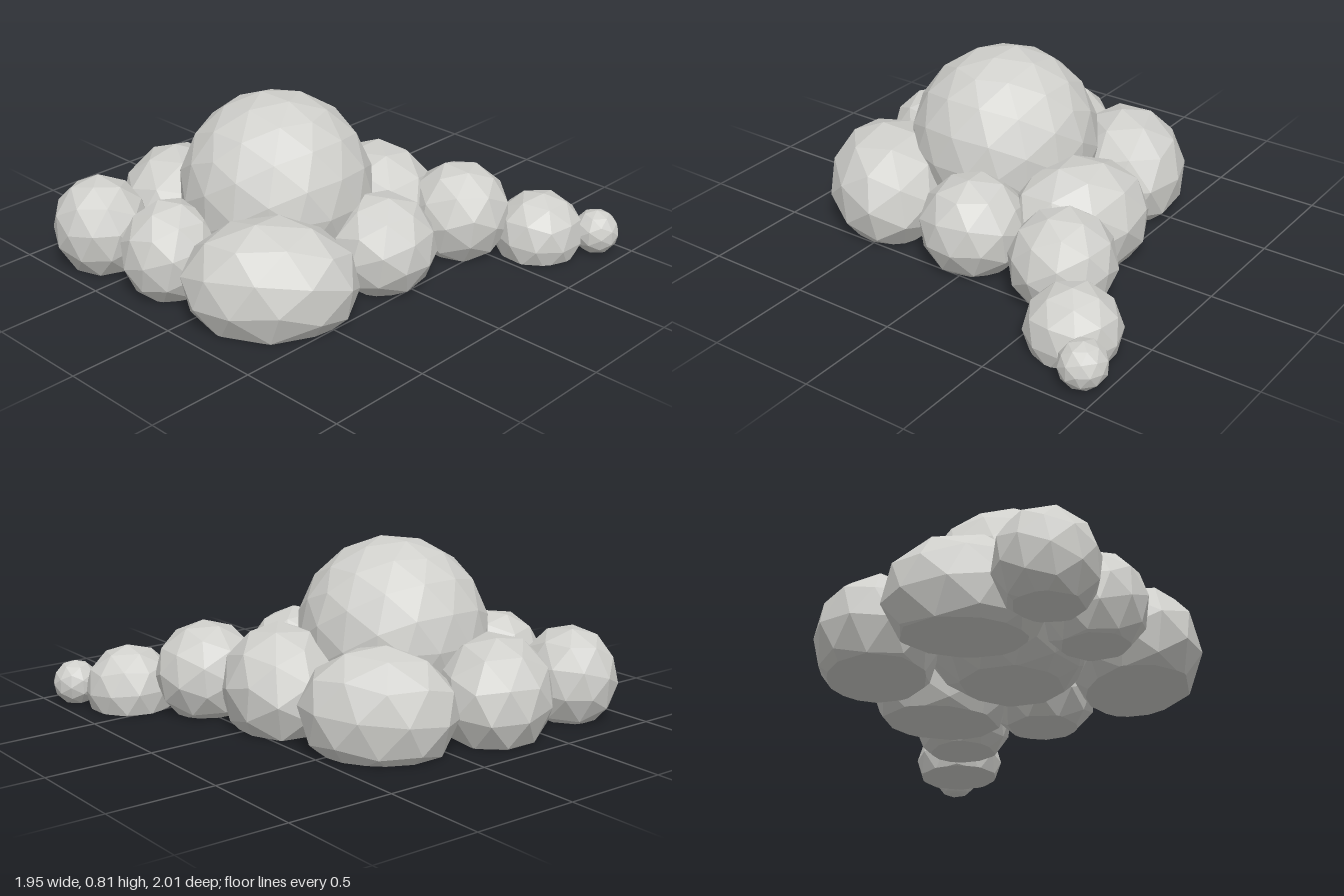
import * as THREE from 'three';
import { ConvexGeometry } from 'three/addons/geometries/ConvexGeometry.js';

// Faceted ellipsoid, cut off flat at the ground (y = 0)
function puffGeometry({ x, y, z, size, yaw = 0, detail = 1 }, index) {
  const ball = new THREE.IcosahedronGeometry(1.02, detail);
  ball.rotateX(index * 0.7).rotateZ(index * 1.1); // vary the facets from puff to puff
  ball.scale(...size).rotateY(yaw).translate(x, y, z);

  const pos = ball.attributes.position;
  const points = new Map();
  const keep = (p) => points.set(p.toArray().map((v) => Math.round(v * 1e4)).join(), p);
  for (let i = 0; i < pos.count; i += 3) {
    const tri = [0, 1, 2].map((k) => new THREE.Vector3().fromBufferAttribute(pos, i + k));
    tri.forEach((a, k) => {
      const b = tri[(k + 1) % 3];
      if (a.y >= 0) keep(a);
      if (a.y * b.y < 0) {
        const cut = a.clone().lerp(b, a.y / (a.y - b.y));
        cut.y = 0;
        keep(cut);
      }
    });
  }
  return new ConvexGeometry([...points.values()]);
}

export function createModel() {
  const cloud = new THREE.Group();
  cloud.name = 'cloud';
  const cloudGrey = new THREE.MeshStandardMaterial({ color: 0xd0d0cc });
  cloudGrey.name = 'cloudGrey';

  const puffs = [
    // large dome in the middle
    { name: 'mainDome', x: -0.145, y: 0.375, z: 0.21, size: [0.435, 0.435, 0.435], detail: 2 },
    // stretched puffs around it
    { name: 'frontLeftLongPuff', x: 0.23, y: 0.17, z: 0.61, size: [0.385, 0.285, 0.285], yaw: 0.75 },
    { name: 'backRightLongPuff', x: -0.56, y: 0.17, z: -0.21, size: [0.345, 0.285, 0.275], yaw: 0.75 },
    { name: 'rightLongPuff', x: -0.67, y: 0.17, z: 0.36, size: [0.345, 0.27, 0.265], yaw: -0.78 },
    { name: 'backLongPuff', x: 0.01, y: 0.17, z: -0.31, size: [0.335, 0.285, 0.27], yaw: -0.5 },
    // round puffs
    { name: 'frontRightPuff', x: -0.705, y: 0.18, z: 0.79, size: [0.23, 0.24, 0.215] },
    { name: 'frontPuff', x: -0.28, y: 0.18, z: 0.73, size: [0.22, 0.24, 0.23] },
    { name: 'leftPuff', x: 0.345, y: 0.18, z: 0.03, size: [0.245, 0.24, 0.25] },
    // trail of shrinking puffs
    { name: 'trailPuffLarge', x: 0.375, y: 0.18, z: -0.47, size: [0.24, 0.24, 0.24] },
    { name: 'trailPuffMedium', x: 0.66, y: 0.085, z: -0.715, size: [0.205, 0.2, 0.21] },
    { name: 'trailPuffSmall', x: 0.86, y: 0.095, z: -0.895, size: [0.108, 0.105, 0.105] },
  ];

  puffs.forEach((puff, i) => {
    const mesh = new THREE.Mesh(puffGeometry(puff, i), cloudGrey);
    mesh.name = puff.name;
    cloud.add(mesh);
  });
  return cloud;
}
